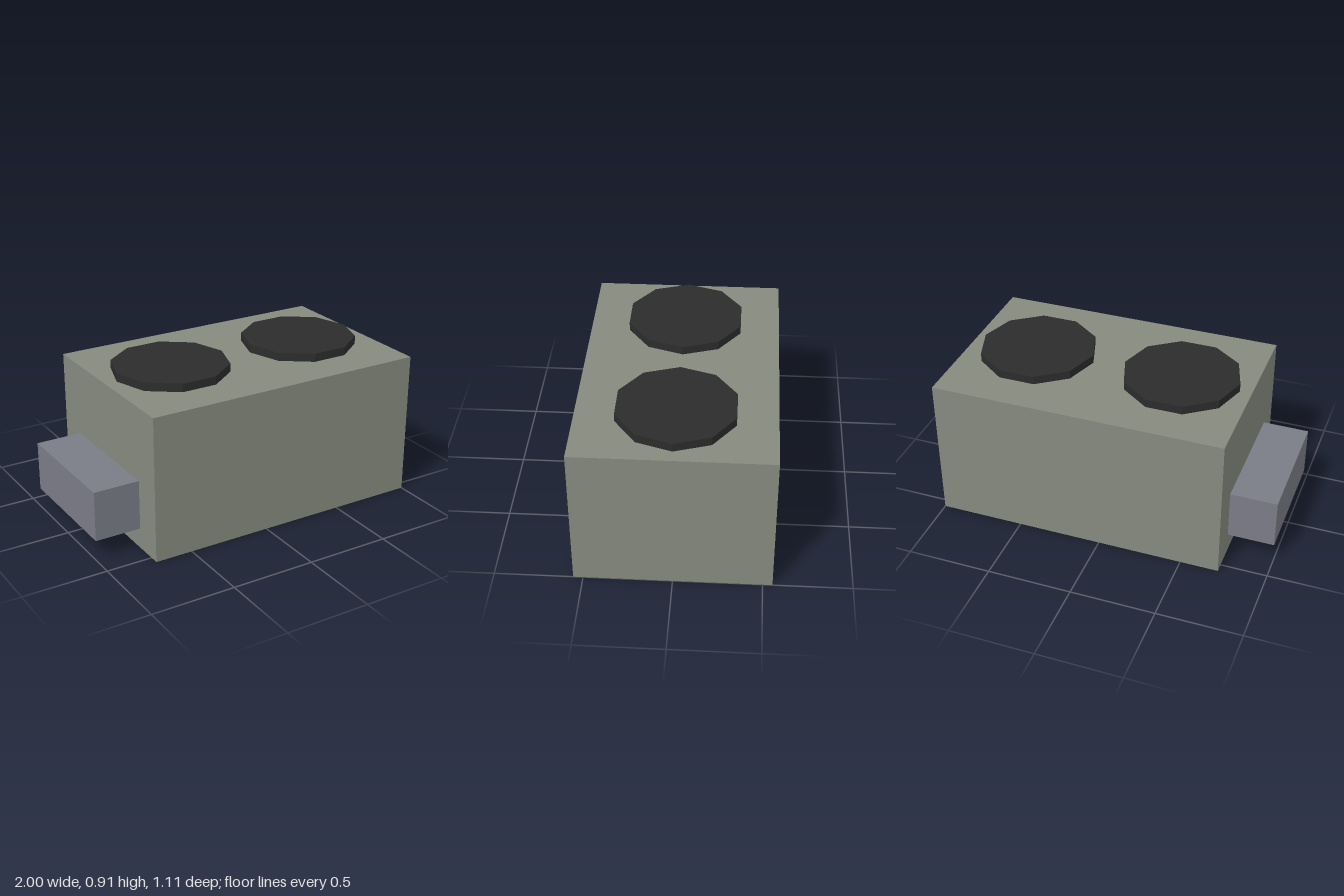
import * as THREE from 'three';

export function createModel() {
  const group = new THREE.Group();
  const paint = (name, color) => {
    const material = new THREE.MeshStandardMaterial({ color });
    material.name = name;
    return material;
  };
  const housingGrey = paint('housing grey', 0x868a7e);
  const ductGrey = paint('duct blue grey', 0x7a7c86);
  const fanBlack = paint('fan black', 0x2c2c2c);

  const add = (name, geometry, material, x, y, z = 0) => {
    const mesh = new THREE.Mesh(geometry, material);
    mesh.name = name;
    mesh.position.set(x, y, z);
    group.add(mesh);
  };

  // Main housing
  add('housing', new THREE.BoxGeometry(1.726, 0.864, 1.11), housingGrey, 0.137, 0.432);

  // Side duct, butted against the right wall
  add('sideDuct', new THREE.BoxGeometry(0.274, 0.296, 0.744), ductGrey, -0.863, 0.272);

  // Two ten-sided fan covers, with corners pointing along x
  const cover = new THREE.CylinderGeometry(0.345, 0.345, 0.05, 10, 1, false, Math.PI / 2).toNonIndexed();
  cover.computeVertexNormals(); // faceted rim
  [['rightFanCover', -0.31], ['leftFanCover', 0.578]].forEach(([name, x]) => {
    add(name, cover, fanBlack, x, 0.889);
  });

  return group;
}
